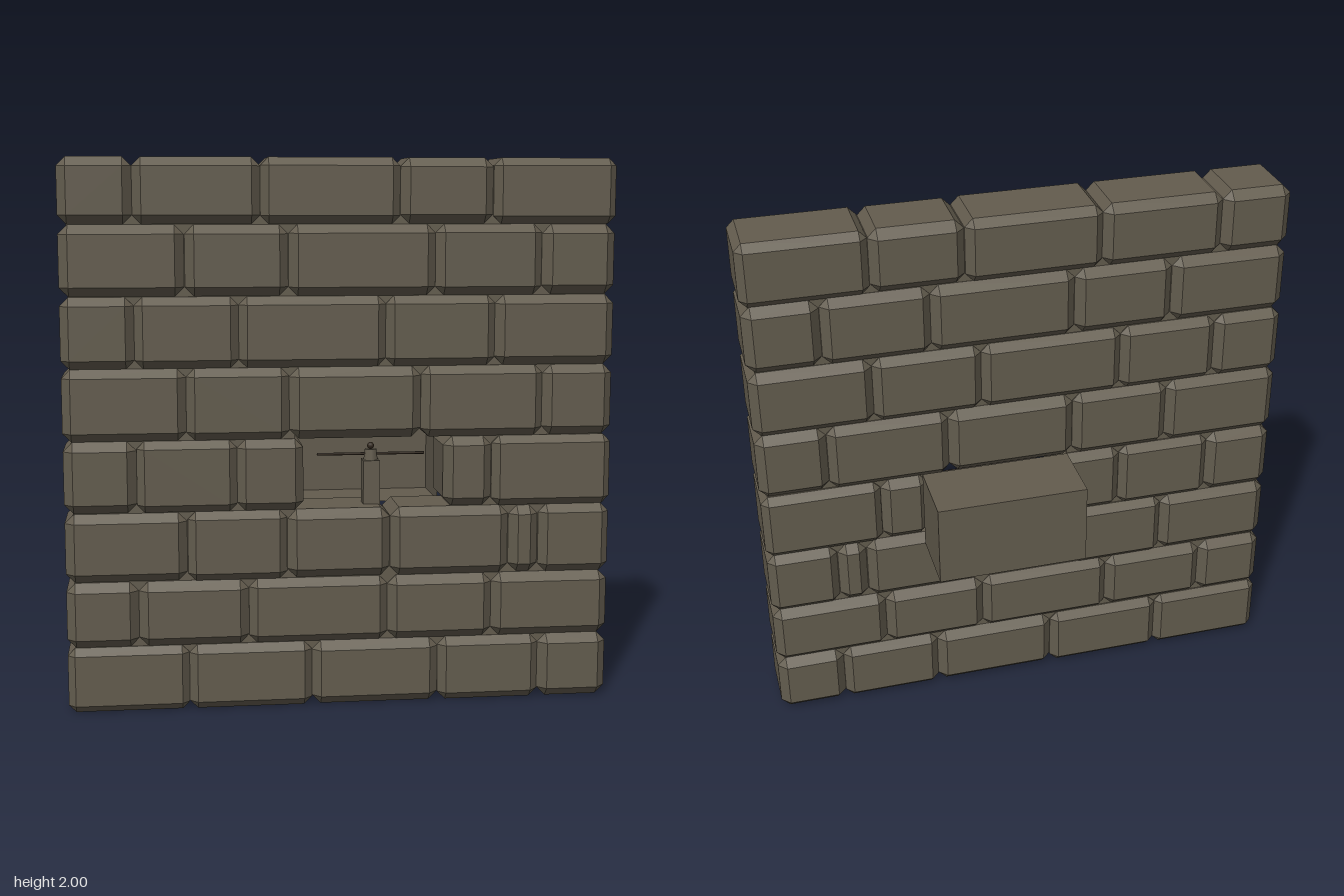
import * as THREE from 'three';
import { ConvexGeometry } from 'three/addons/geometries/ConvexGeometry.js';

// Brick courses from the ground up: bottom, top, and [start, end] joints along x
const COURSES = [
  [0.0, 0.24, [-1, -0.56, -0.11, 0.36, 0.74, 1]],
  [0.24, 0.48, [-1, -0.74, -0.34, 0.17, 0.56, 1]],
  [0.48, 0.735, [-1, -0.56, -0.2, 0.18, 0.62, 0.735, 1]],
  [0.735, 0.995, [-1, -0.74, -0.38, -0.14, 0.375, 0.555, 1]],
  [0.995, 1.255, [-1, -0.56, -0.19, 0.29, 0.74, 1]],
  [1.255, 1.51, [-1, -0.74, -0.37, 0.16, 0.56, 1]],
  [1.51, 1.765, [-1, -0.56, -0.19, 0.34, 0.73, 1]],
  [1.765, 2.0, [-1, -0.74, -0.29, 0.21, 0.55, 1]],
];
const OPENING_START = -0.14; // the brick left out to make the niche
const BACK = -0.005, FRONT = 0.27;

export function createModel() {
  const model = new THREE.Group();
  model.name = 'brickWallWithNiche';

  const stone = new THREE.MeshStandardMaterial({ color: 0x635c4e, side: THREE.DoubleSide });
  stone.name = 'stone';
  const darkWood = new THREE.MeshStandardMaterial({ color: 0x33291f });
  darkWood.name = 'dark wood';

  let seed = 7;
  const random = () => (seed = (seed * 16807) % 2147483647) / 2147483647;

  const add = (parent, name, geometry, material, x = 0, y = 0, z = 0) => {
    const mesh = new THREE.Mesh(geometry, material);
    mesh.name = name;
    mesh.position.set(x, y, z);
    parent.add(mesh);
    return mesh;
  };

  // Block with all edges cut back by a slightly different amount per brick
  const chamferedBlock = (w, h, d, cut) => {
    const half = [w / 2, h / 2, d / 2];
    const points = [];
    for (const sx of [-1, 1]) for (const sy of [-1, 1]) for (const sz of [-1, 1]) {
      const signs = [sx, sy, sz];
      for (let full = 0; full < 3; full++) {
        const p = signs.map((s, i) => s * (half[i] - (i === full ? 0 : cut)));
        points.push(new THREE.Vector3(...p));
      }
    }
    return new ConvexGeometry(points);
  };

  // Bricks
  const bricks = new THREE.Group();
  bricks.name = 'bricks';
  model.add(bricks);
  for (const [bottom, top, joints] of COURSES) {
    for (let i = 0; i < joints.length - 1; i++) {
      const cut = 0.027 + random() * 0.008;
      const depth = FRONT - BACK - random() * 0.008;
      if (joints[i] === OPENING_START) continue;
      const width = joints[i + 1] - joints[i];
      const brick = chamferedBlock(width, top - bottom, depth, cut);
      add(bricks, 'brick', brick, stone, joints[i] + width / 2, (bottom + top) / 2, (FRONT + BACK) / 2);
    }
  }

  // Recessed core that closes the gaps between the bricks
  const rectangle = (Type, x0, y0, x1, y1) => {
    const path = new Type();
    path.moveTo(x0, y0).lineTo(x1, y0).lineTo(x1, y1).lineTo(x0, y1).closePath();
    return path;
  };
  const coreShape = rectangle(THREE.Shape, -0.97, 0.03, 0.97, 1.97);
  coreShape.holes.push(rectangle(THREE.Path, -0.17, 0.70, 0.405, 1.03));
  const core = new THREE.ExtrudeGeometry(coreShape, { depth: 0.205, bevelEnabled: false });
  add(model, 'mortarCore', core, stone, 0, 0, 0.03);

  // Niche box behind the opening, without its front face
  const niche = new THREE.BoxGeometry(0.56, 0.31, 0.26);
  const index = Array.from(niche.index.array);
  index.splice(24, 6);
  niche.setIndex(index);
  niche.clearGroups();
  add(model, 'nicheBox', niche, stone, 0.12, 0.865, -0.142);

  // Small post carrying a thin crossbar and a knob
  const lever = new THREE.Group();
  lever.name = 'lever';
  lever.position.set(0.12, 0, 0.14);
  model.add(lever);
  add(lever, 'post', new THREE.BoxGeometry(0.062, 0.165, 0.062), stone, 0, 0.815, 0);
  add(lever, 'postHead', new THREE.CylinderGeometry(0.022, 0.027, 0.045, 8), stone, 0, 0.915, 0);
  const bar = add(lever, 'crossbar', new THREE.CylinderGeometry(0.005, 0.005, 0.4, 8), darkWood, 0, 0.92, 0);
  bar.rotation.z = Math.PI / 2;
  add(lever, 'knob', new THREE.SphereGeometry(0.013, 12, 8), darkWood, 0, 0.95, 0);

  return model;
}
